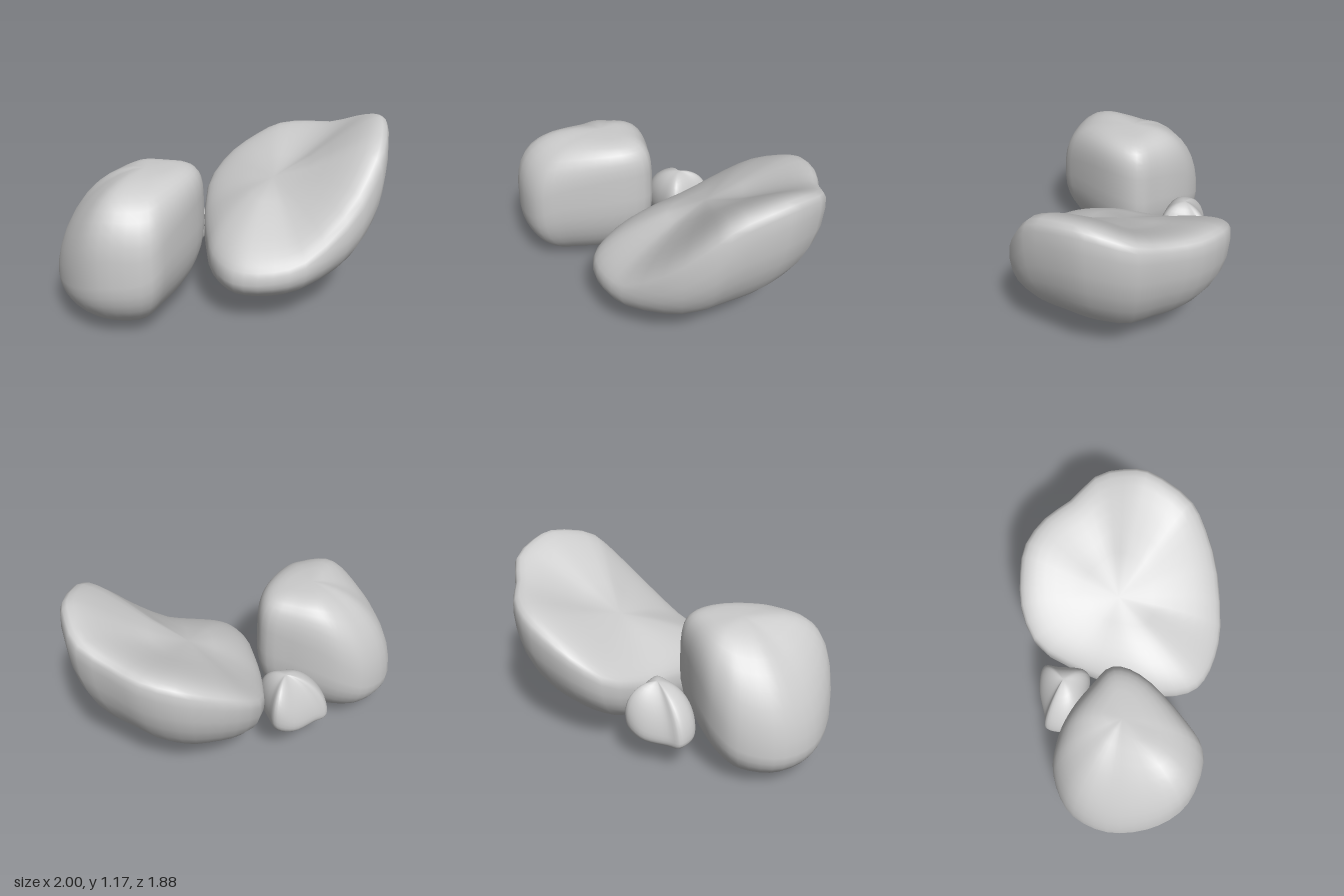
import * as THREE from 'three';
import { mergeVertices } from 'three/addons/utils/BufferGeometryUtils.js';

const AROUND = 42, HALF = 10;

// Smooth stone: a closed widest outline, joined to a top and a bottom centre by
// superellipse arcs. Outline rows are [x, y, z, k], counter-clockwise from above.
// k is the squareness of the upper arc, or the lip height when the top is dished.
function stone(name, { outline, top, bottom, under, dished = false }) {
  const closed = (toPoint) =>
    new THREE.CatmullRomCurve3(outline.map(toPoint), true, 'catmullrom', 0.5);
  const rim = closed(([x, y, z]) => new THREE.Vector3(x, y, z));
  const extra = closed((row) => new THREE.Vector3(row[3], 0, 0));
  const positions = [], index = [];

  for (let i = 0; i <= 2 * HALF; i++) {
    const upper = i <= HALF;
    const phi = (upper ? i : 2 * HALF - i) / HALF * Math.PI / 2;
    const centre = upper ? top : bottom;
    for (let j = 0; j < AROUND; j++) {
      const edge = rim.getPoint(j / AROUND), k = extra.getPoint(j / AROUND).x;
      const power = upper ? (dished ? 3.4 : k) : under;
      const s = Math.sin(phi) ** (2 / power);
      const h = Math.max(0, Math.cos(phi)) ** (2 / power);
      const y = upper && dished
        ? THREE.MathUtils.lerp(centre[1], edge.y + k * h, s ** 1.25)
        : THREE.MathUtils.lerp(edge.y, centre[1], h);
      positions.push(
        centre[0] + (edge.x - centre[0]) * s, y, centre[2] + (edge.z - centre[2]) * s);
      if (i < 2 * HALF) {
        const n = (j + 1) % AROUND, a = i * AROUND, b = a + AROUND;
        if (i < 2 * HALF - 1) index.push(a + j, b + j, b + n);
        if (i > 0) index.push(a + j, b + n, a + n);
      }
    }
  }
  let geometry = new THREE.BufferGeometry();
  geometry.setAttribute('position', new THREE.Float32BufferAttribute(positions, 3));
  geometry.setIndex(index);
  geometry = mergeVertices(geometry, 1e-4);
  geometry.computeVertexNormals();
  const mesh = new THREE.Mesh(geometry, new THREE.MeshStandardMaterial({ color: 0xcccccc }));
  mesh.name = name;
  return mesh;
}

export function createModel() {
  const group = new THREE.Group();
  group.name = 'rocks';

  // Large tilted rock with a broad, slightly dished face
  group.add(stone('largeRock', {
    dished: true, under: 2, top: [0.25, 0.77, -0.24], bottom: [0.2, 0.095, -0.12],
    outline: [
      [0.28, 0.33, 0.5, 0.13], [0.47, 0.35, 0.455, 0.12], [0.66, 0.41, 0.35, 0.13],
      [0.88, 0.59, 0.12, 0.25], [0.98, 0.78, -0.09, 0.33], [1, 0.93, -0.25, 0.32],
      [0.96, 1.02, -0.52, 0.29], [0.89, 1.02, -0.67, 0.27], [0.75, 0.98, -0.83, 0.22],
      [0.53, 0.91, -0.88, 0.19], [0.32, 0.87, -0.94, 0.2], [0.1, 0.83, -0.925, 0.2],
      [-0.07, 0.76, -0.83, 0.17], [-0.22, 0.67, -0.69, 0.13], [-0.3, 0.55, -0.49, 0.09],
      [-0.24, 0.45, -0.22, 0.1], [-0.17, 0.4, -0.02, 0.13], [-0.09, 0.36, 0.16, 0.16],
      [0, 0.34, 0.33, 0.15], [0.14, 0.33, 0.465, 0.14],
    ],
  }));

  // Upright block-like rock with a chamfered outer side
  group.add(stone('uprightRock', {
    under: 2.15, top: [-0.42, 0.97, 0.34], bottom: [-0.52, 0, 0.45],
    outline: [
      [-0.48, 0.4, 0.935, 3.2], [-0.21, 0.44, 0.845, 2.8], [-0.13, 0.54, 0.64, 3.2],
      [-0.09, 0.58, 0.26, 4.6], [-0.16, 0.56, 0.045, 4.6], [-0.35, 0.53, 0.01, 4],
      [-0.55, 0.48, 0.005, 3.5], [-0.73, 0.4, 0.035, 2.6], [-0.89, 0.32, 0.13, 2.1],
      [-1, 0.28, 0.36, 1.95], [-0.94, 0.28, 0.63, 1.85], [-0.73, 0.33, 0.85, 2.3],
    ],
  }));

  // Small peaked rock behind
  group.add(stone('smallRock', {
    under: 2.5, top: [-0.38, 0.59, -0.2], bottom: [-0.46, 0.2, -0.18],
    outline: [
      [-0.47, 0.35, 0, 2], [-0.31, 0.38, -0.06, 2.1], [-0.2, 0.37, -0.15, 2.3],
      [-0.3, 0.36, -0.33, 2], [-0.37, 0.37, -0.41, 2.2], [-0.49, 0.3, -0.35, 1.6],
      [-0.6, 0.28, -0.21, 1.5], [-0.66, 0.28, -0.14, 1.7], [-0.6, 0.3, -0.03, 1.8],
    ],
  }));
  return group;
}
